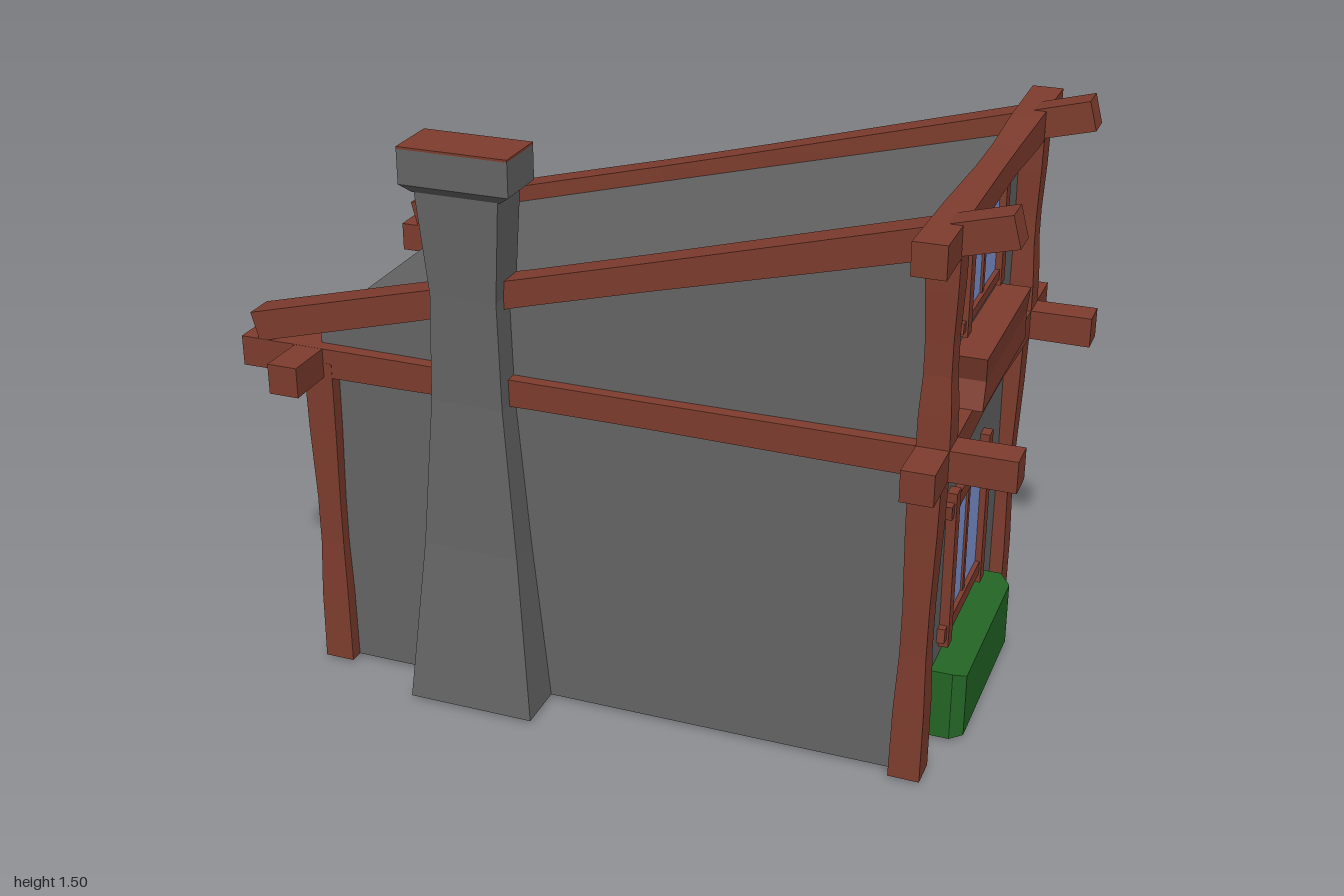
import * as THREE from 'three';

const stone = new THREE.MeshStandardMaterial({ color: 0x666666, side: THREE.DoubleSide });
const timber = new THREE.MeshStandardMaterial({ color: 0x7f3d2e });
const hedge = new THREE.MeshStandardMaterial({ color: 0x246726 });
const glass = new THREE.MeshStandardMaterial({ color: 0x859bdc });
stone.name = 'stone grey';
timber.name = 'timber brown';
hedge.name = 'hedge green';
glass.name = 'window blue';

function add(parent, name, geometry, material) {
  const mesh = new THREE.Mesh(geometry, material);
  mesh.name = name;
  parent.add(mesh);
  return mesh;
}

// Faceted block through rectangular sections [y, x0, x1, z0, z1], bottom to top
function loft(sections) {
  const n = sections.length - 1;
  const box = new THREE.BoxGeometry(1, 1, 1, 1, n, 1);
  const p = box.attributes.position;
  for (let i = 0; i < p.count; i++) {
    const [y, x0, x1, z0, z1] = sections[Math.round((p.getY(i) + 0.5) * n)];
    p.setXYZ(i, p.getX(i) < 0 ? x0 : x1, y, p.getZ(i) < 0 ? z0 : z1);
  }
  const g = box.toNonIndexed();
  g.computeVertexNormals();
  return g;
}

function block(x0, x1, y0, y1, z0, z1) {
  return loft([[y0, x0, x1, z0, z1], [y1, x0, x1, z0, z1]]);
}

// Hewn timber along y, centred, slimmer towards the middle
function hewn(length, size, waist) {
  return loft([0, 0.22, 0.4, 0.55, 0.78, 1].map((t, i) => {
    const h = size / 2 * [1, 0.96, waist, waist, 0.95, 1][i];
    return [(t - 0.5) * length, -h, h, -h, h];
  }));
}

// Framed two-pane window facing +z; y values are absolute heights
function makeWindow(name, y0, y1, over) {
  const g = new THREE.Group();
  g.name = name;
  add(g, 'glass', block(-0.157, 0.157, y0, y1, 0, 0.008), glass);
  add(g, 'mullion', block(-0.01, 0.01, y0, y1, 0, 0.014), timber);
  for (const s of [-1, 1]) {
    add(g, 'jamb', block(s * 0.174 - 0.02, s * 0.174 + 0.02, y0 - over, y1 + over, 0, 0.025), timber);
  }
  const t = over * 0.6;
  add(g, 'headRail', loft([[y1, -0.215, 0.215, 0, 0.02], [y1 + t, -0.22, 0.22, 0, 0.02]]), timber);
  add(g, 'sillRail', loft([[y0 - t, -0.22, 0.22, 0, 0.02], [y0, -0.215, 0.215, 0, 0.02]]), timber);
  return g;
}

function place(parent, object, x, z, turn) {
  object.position.set(x, 0, z);
  object.rotation.y = turn;
  parent.add(object);
}

// Clipped hedge facing +z, tapering outwards
function makeHedge(name, width, depth) {
  const w = width / 2;
  const g = loft([[0, -w, w, -0.2, -0.01], [depth - 0.03, -w, w, -0.2, -0.01],
    [depth, -w + 0.03, w - 0.03, -0.185, -0.01]]);
  g.rotateX(Math.PI / 2);
  const mesh = new THREE.Mesh(g, hedge);
  mesh.name = name;
  return mesh;
}

// House shell with a lean-to roof, open underneath
function shellGeometry() {
  const shape = new THREE.Shape([[-0.79, 0.01], [0.78, 0.01], [0.78, 1.4], [-0.755, 1.0], [-0.79, 0.965]]
    .map(([x, y]) => new THREE.Vector2(x, y)));
  const solid = new THREE.ExtrudeGeometry(shape, { depth: 0.88, bevelEnabled: false });
  solid.translate(0, 0, -0.44);
  const p = solid.attributes.position;
  const keep = [];
  for (let i = 0; i < p.count; i += 3) {
    const isFloor = [0, 1, 2].every((k) => p.getY(i + k) < 0.02);
    if (isFloor) continue;
    for (let k = 0; k < 3; k++) keep.push(p.getX(i + k), p.getY(i + k), p.getZ(i + k));
  }
  const g = new THREE.BufferGeometry();
  g.setAttribute('position', new THREE.Float32BufferAttribute(keep, 3));
  g.computeVertexNormals();
  return g;
}

export function createModel() {
  const house = new THREE.Group();
  house.name = 'house';
  add(house, 'wallsAndRoof', shellGeometry(), stone);

  // Corner posts, long beams and sloping rafters, mirrored front to back
  for (const s of [-1, 1]) {
    const z = s * 0.437;
    const post = (name, x, lean, y0, y1) => {
      const m = add(house, name, hewn(y1 - y0, 0.08, 0.82), timber);
      m.position.set(x, (y0 + y1) / 2, z);
      m.rotation.z = lean;
    };
    post('leftPost', -0.786, 0, 0.01, 0.88);
    post('rightPost', 0.782, -0.015, 0.01, 0.88);
    post('upperRightPost', 0.802, 0, 0.88, 1.42);

    const beam = add(house, 'longBeam', hewn(2, 0.08, 0.88), timber);
    beam.position.set(0, 0.88, z);
    beam.rotation.z = -Math.PI / 2;

    const rafter = add(house, 'rafter', hewn(1.985, 0.078, 0.88), timber);
    rafter.position.set(0, 1.206, z);
    rafter.rotation.z = -Math.PI / 2 + 0.26;
  }

  // Cross beams
  for (const [name, x, y] of [['leftCrossBeam', -0.808, 0.88], ['rightCrossBeam', 0.802, 0.88], ['ridgeBeam', 0.802, 1.422]]) {
    const m = add(house, name, hewn(1.215, 0.08, 0.82), timber);
    m.position.set(x, y, 0);
    m.rotation.x = Math.PI / 2;
  }

  // Chimney
  add(house, 'chimney', loft([
    [0.01, -0.52, -0.182, 0.4, 0.573],
    [0.45, -0.479, -0.224, 0.4, 0.53],
    [0.85, -0.447, -0.256, 0.4, 0.515],
    [1.13, -0.437, -0.262, 0.4, 0.514],
    [1.4, -0.46, -0.242, 0.4, 0.525],
  ]), stone);
  add(house, 'chimneyCap', loft([
    [1.39, -0.465, -0.235, 0.4, 0.525],
    [1.41, -0.492, -0.208, 0.395, 0.54],
    [1.497, -0.492, -0.208, 0.395, 0.54],
  ]), stone);
  add(house, 'chimneyTop', block(-0.492, -0.208, 1.497, 1.503, 0.395, 0.54), timber);

  // Windows
  place(house, makeWindow('lowerSideWindow', 0.29, 0.6, 0.063), 0.78, 0, Math.PI / 2);
  place(house, makeWindow('upperSideWindow', 1.12, 1.335, 0.042), 0.78, 0, Math.PI / 2);
  place(house, makeWindow('backWindow', 0.29, 0.6, 0.063), 0.365, -0.44, Math.PI);

  // Flower box below the upper window
  add(house, 'flowerBox', loft([
    [0.915, 0.78, 0.862, -0.24, 0.24],
    [0.985, 0.78, 0.862, -0.22, 0.22],
    [1.05, 0.78, 0.866, -0.24, 0.24],
  ]), timber);

  // Back door with stone surround
  add(house, 'door', block(-0.53, -0.24, 0.01, 0.65, -0.448, -0.43), timber);
  for (const s of [-1, 1]) {
    const c = -0.383 + s * 0.163;
    add(house, 'doorPost', loft([
      [0, c - 0.031, c + 0.031, -0.466, -0.41],
      [0.35, c - 0.023, c + 0.023, -0.462, -0.41],
      [0.65, c - 0.029, c + 0.029, -0.466, -0.41],
    ]), stone);
  }
  const lintel = new THREE.Shape([[-0.65, 0.625], [-0.383, 0.65], [-0.115, 0.625], [-0.115, 0.7], [-0.383, 0.73], [-0.65, 0.7]]
    .map(([x, y]) => new THREE.Vector2(x, y)));
  add(house, 'doorLintel', new THREE.ExtrudeGeometry(lintel, { depth: 0.07, bevelEnabled: false }), stone)
    .position.z = -0.478;

  // Hedges
  place(house, makeHedge('rightHedge', 0.54, 0.088), 0.78, 0, Math.PI / 2);
  place(house, makeHedge('leftHedge', 0.65, 0.083), -0.79, -0.005, -Math.PI / 2);
  place(house, makeHedge('backHedge', 0.54, 0.082), 0.365, -0.44, Math.PI);

  return house;
}
